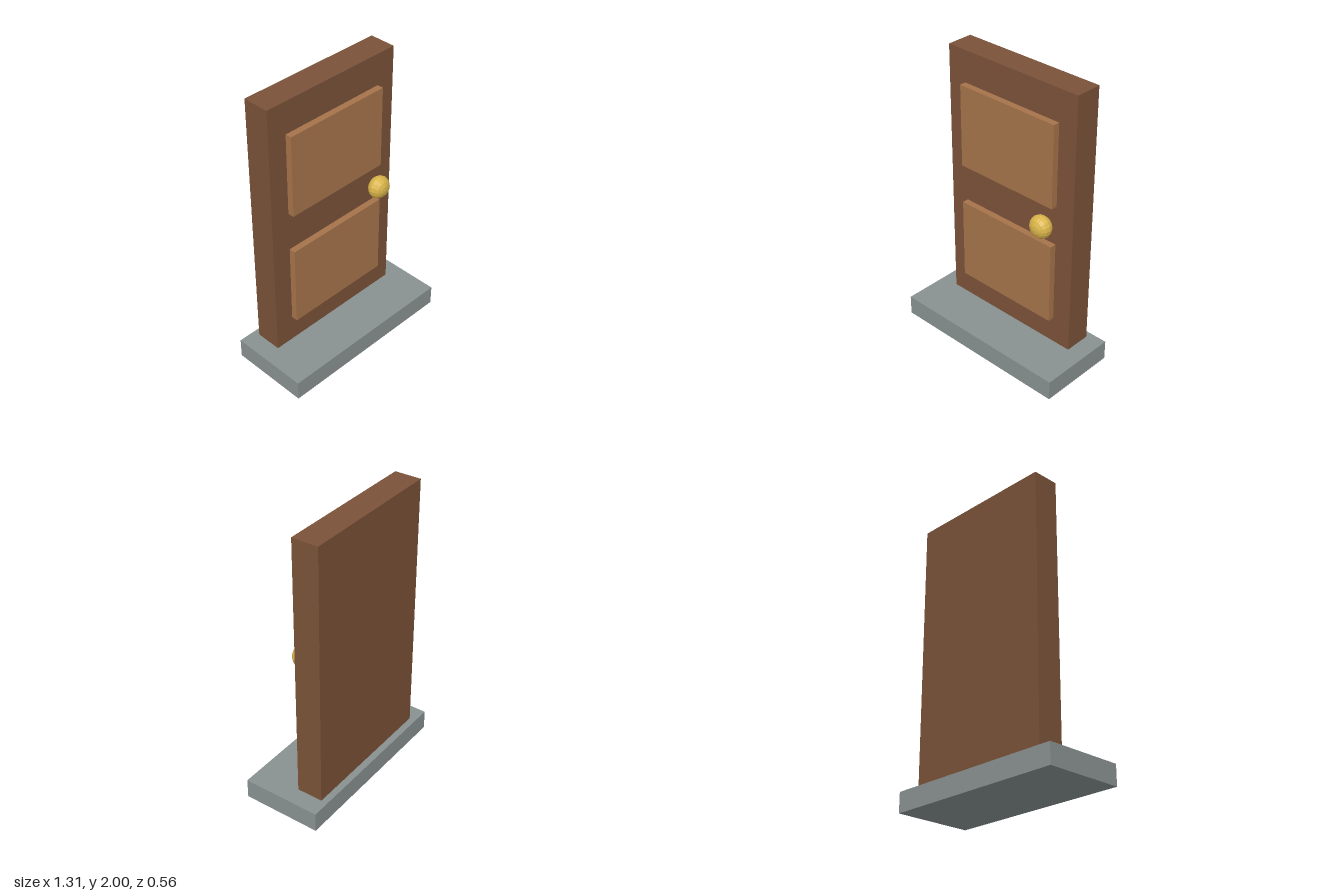
import * as THREE from 'three';

export function createModel() {
  const group = new THREE.Group();
  const material = (color) => new THREE.MeshStandardMaterial({ color, flatShading: true });
  const wood = material(0x7a5238);
  const panelWood = material(0xa5734a);
  const stone = material(0x889190);
  const brass = material(0xd9b44a);

  // Box given by its width and its y and z ranges, centred on x
  function box(name, width, [y0, y1], [z0, z1], mat) {
    const mesh = new THREE.Mesh(new THREE.BoxGeometry(width, y1 - y0, z1 - z0), mat);
    mesh.position.set(0, (y0 + y1) / 2, (z0 + z1) / 2);
    mesh.name = name;
    group.add(mesh);
  }

  // Doorstep and door slab
  box('doorstep', 1.306, [0, 0.14], [-0.28, 0.28], stone);
  box('doorSlab', 1.054, [0.14, 2], [-0.233, -0.047], wood);

  // Raised panels on the front
  box('lowerPanel', 0.78, [0.332, 0.915], [-0.047, -0.002], panelWood);
  box('upperPanel', 0.78, [1.197, 1.778], [-0.047, -0.002], panelWood);

  // Flattened door knob, poles along z
  const knobGeometry = new THREE.SphereGeometry(0.08, 16, 8);
  knobGeometry.rotateX(Math.PI / 2);
  knobGeometry.scale(1, 1, 0.79);
  const knob = new THREE.Mesh(knobGeometry, brass);
  knob.position.set(0.337, 1.066, 0.036);
  knob.name = 'doorKnob';
  group.add(knob);

  return group;
}
